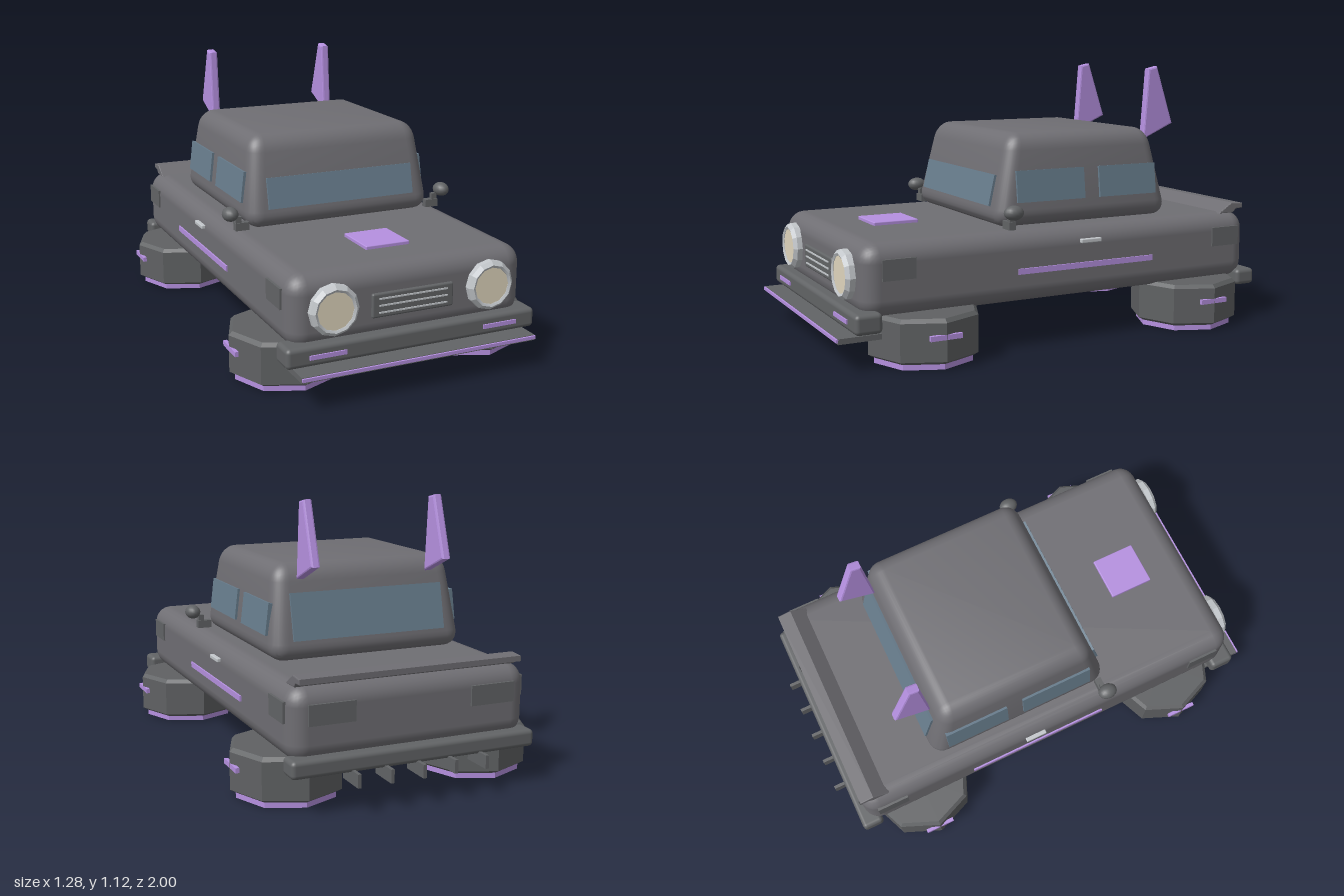
import * as THREE from 'three';
import { RoundedBoxGeometry } from 'three/addons/geometries/RoundedBoxGeometry.js';
import { toCreasedNormals } from 'three/addons/utils/BufferGeometryUtils.js';

const mat = (color) => new THREE.MeshStandardMaterial({ color });

export function createModel() {
  const car = new THREE.Group();
  car.name = 'car';
  const paint = mat(0x6f6e73), trim = mat(0x626466), tyre = mat(0x5f6163);
  const purple = mat(0xb590e0), glass = mat(0x687d8d), chrome = mat(0xc2c6ca), cream = mat(0xe0d6be);

  const add = (name, geo, material, x = 0, y = 0, z = 0, parent = car) => {
    const m = new THREE.Mesh(geo, material);
    m.name = name;
    m.position.set(x, y, z);
    parent.add(m);
    return m;
  };
  // box given by its x, y and z ranges, with an optional rounded edge
  const block = (name, material, [x0, x1], [y0, y1], [z0, z1], r = 0) => {
    const s = [x1 - x0, y1 - y0, z1 - z0];
    const geo = r ? new RoundedBoxGeometry(...s, 3, r) : new THREE.BoxGeometry(...s);
    return add(name, geo, material, (x0 + x1) / 2, (y0 + y1) / 2, (z0 + z1) / 2);
  };
  const sideBlock = (name, material, [a, b], y, z, r) => {
    block(name + 'Left', material, [a, b], y, z, r);
    block(name + 'Right', material, [-b, -a], y, z, r);
  };
  // side profile of (z, y) points, extruded across x and centred
  const profile = (pts, width, bevel) => {
    const shape = new THREE.Shape(pts.map(([z, y]) => new THREE.Vector2(-z, y)));
    const geo = new THREE.ExtrudeGeometry(shape, {
      depth: width - 2 * bevel, bevelThickness: bevel, bevelSize: bevel, bevelOffset: -bevel, bevelSegments: 2,
    });
    return geo.translate(0, 0, -width / 2 + bevel).rotateY(Math.PI / 2);
  };

  // body shell
  block('body', paint, [-0.505, 0.505], [0.185, 0.478], [-0.91, 0.895], 0.075);

  // cabin, tapered towards the roof
  const base = 0.48, height = 0.38, midZ = -0.128;
  const halfX = (y) => 0.43 - 0.045 * (y - base) / height;
  const halfZ = (y) => 0.425 - 0.085 * (y - base) / height;
  const cabin = new RoundedBoxGeometry(0.86, height, 0.85, 4, 0.07);
  const p = cabin.attributes.position;
  for (let i = 0; i < p.count; i++) {
    const y = p.getY(i) + base + height / 2;
    p.setX(i, p.getX(i) * halfX(y) / 0.43);
    p.setZ(i, p.getZ(i) * halfZ(y) / 0.425);
  }
  add('cabin', toCreasedNormals(cabin, 0.7), paint, 0, base + height / 2, midZ);

  // windows lying on the sloped cabin walls
  const slopeZ = Math.atan(0.085 / height), slopeX = Math.atan(0.045 / height);
  for (const [name, s, y0, y1] of [['windshield', 1, 0.56, 0.69], ['rearWindow', -1, 0.56, 0.75]]) {
    const y = (y0 + y1) / 2;
    const pane = add(name, new THREE.BoxGeometry(0.67, y1 - y0, 0.02), glass, 0, y, midZ + s * halfZ(y));
    pane.rotation.x = -s * slopeZ;
  }
  for (const s of [1, -1]) {
    for (const [name, z0, z1] of [['frontSideWindow', -0.117, 0.2], ['rearSideWindow', -0.47, -0.19]]) {
      const y = 0.645;
      const pane = add(name, new THREE.BoxGeometry(0.02, 0.13, z1 - z0), glass, s * halfX(y), y, (z0 + z1) / 2);
      pane.rotation.z = s * slopeX;
    }
  }

  // hovering wheels lying flat, each with a glowing disc below and a hub strip
  const wheelGeo = toCreasedNormals(new THREE.LatheGeometry(
    [[0, 0.02], [0.205, 0.02], [0.23, 0.035], [0.23, 0.185], [0.215, 0.2], [0, 0.2]]
      .map(([r, y]) => new THREE.Vector2(r, y)), 8), 0.3);
  const discGeo = toCreasedNormals(new THREE.CylinderGeometry(0.207, 0.207, 0.025, 8), 0.3);
  for (const s of [1, -1]) {
    for (const [name, z] of [['frontWheel', 0.613], ['rearWheel', -0.635]]) {
      const wheel = new THREE.Group();
      wheel.name = name;
      wheel.position.set(s * 0.41, 0, z);
      car.add(wheel);
      add('tyre', wheelGeo, tyre, 0, 0, 0, wheel);
      add('glowDisc', discGeo, purple, 0, 0.0125, 0, wheel);
      add('hubStrip', new THREE.BoxGeometry(0.015, 0.02, 0.13), purple, s * 0.222, 0.13, 0, wheel);
    }
  }

  // front bumper, splitter and their strips
  block('frontBumper', trim, [-0.535, 0.535], [0.145, 0.225], [0.825, 0.935], 0.018);
  sideBlock('bumperLight', purple, [0.295, 0.445], [0.175, 0.192], [0.92, 0.941]);
  block('splitter', trim, [-0.5, 0.5], [0.115, 0.137], [0.82, 0.992]);
  block('splitterStrip', purple, [-0.5, 0.5], [0.122, 0.135], [0.98, 1.0]);

  // rear bumper with diffuser fins
  block('rearBumper', trim, [-0.515, 0.515], [0.15, 0.22], [-0.95, -0.855], 0.018);
  for (let i = -2; i <= 2; i++) {
    block('diffuserFin', trim, [i * 0.135 - 0.007, i * 0.135 + 0.007], [0.107, 0.16], [-1.0, -0.87]);
  }

  // grille with three bars
  block('grille', trim, [-0.175, 0.175], [0.28, 0.377], [0.86, 0.906], 0.008);
  for (const y of [0.301, 0.329, 0.356]) {
    block('grilleBar', chrome, [-0.147, 0.147], [y - 0.003, y + 0.003], [0.89, 0.91]);
  }

  // headlights
  const ring = new THREE.LatheGeometry(
    [[0.075, 0], [0.1, 0], [0.1, 0.025], [0.085, 0.04], [0.075, 0.035], [0.075, 0]]
      .map(([r, y]) => new THREE.Vector2(r, y)), 12).rotateX(Math.PI / 2);
  const ringGeo = toCreasedNormals(ring, 0.3);
  const lensGeo = new THREE.CylinderGeometry(0.078, 0.078, 0.04, 12).rotateX(Math.PI / 2);
  for (const s of [1, -1]) {
    add('headlightRing', ringGeo, chrome, s * 0.335, 0.343, 0.892);
    add('headlightLens', lensGeo, cream, s * 0.335, 0.343, 0.905);
  }

  // marker lights, tail lights, door trim and hood plate
  sideBlock('frontMarker', trim, [0.49, 0.512], [0.338, 0.42], [0.68, 0.817]);
  sideBlock('rearMarker', trim, [0.49, 0.512], [0.338, 0.42], [-0.855, -0.715]);
  sideBlock('tailLight', trim, [0.245, 0.435], [0.335, 0.415], [-0.918, -0.89]);
  sideBlock('sideStripe', purple, [0.49, 0.512], [0.307, 0.33], [-0.4, 0.24]);
  sideBlock('doorHandle', chrome, [0.49, 0.518], [0.41, 0.427], [-0.143, -0.047], 0.004);
  block('hoodPlate', purple, [-0.096, 0.096], [0.465, 0.492], [0.497, 0.693], 0.004);

  // wing mirrors on bent brackets
  sideBlock('mirrorFoot', trim, [0.415, 0.475], [0.482, 0.515], [0.235, 0.265]);
  sideBlock('mirrorPost', trim, [0.447, 0.472], [0.5, 0.54], [0.24, 0.26]);
  const mirrorGeo = new THREE.SphereGeometry(1, 16, 12).scale(0.033, 0.03, 0.042);
  for (const s of [1, -1]) add('mirror', mirrorGeo, trim, s * 0.495, 0.555, 0.255);

  // tail spoiler and roof fins
  add('spoiler', profile(
    [[-0.78, 0.472], [-0.86, 0.472], [-0.875, 0.488], [-0.91, 0.49], [-0.91, 0.512], [-0.85, 0.517]],
    0.94, 0.004), paint);
  const finGeo = profile([[-0.487, 0.8], [-0.64, 0.866], [-0.556, 1.118], [-0.511, 1.108]], 0.038, 0.008);
  for (const s of [1, -1]) add('roofFin', finGeo, purple, s * 0.284);

  return car;
}
